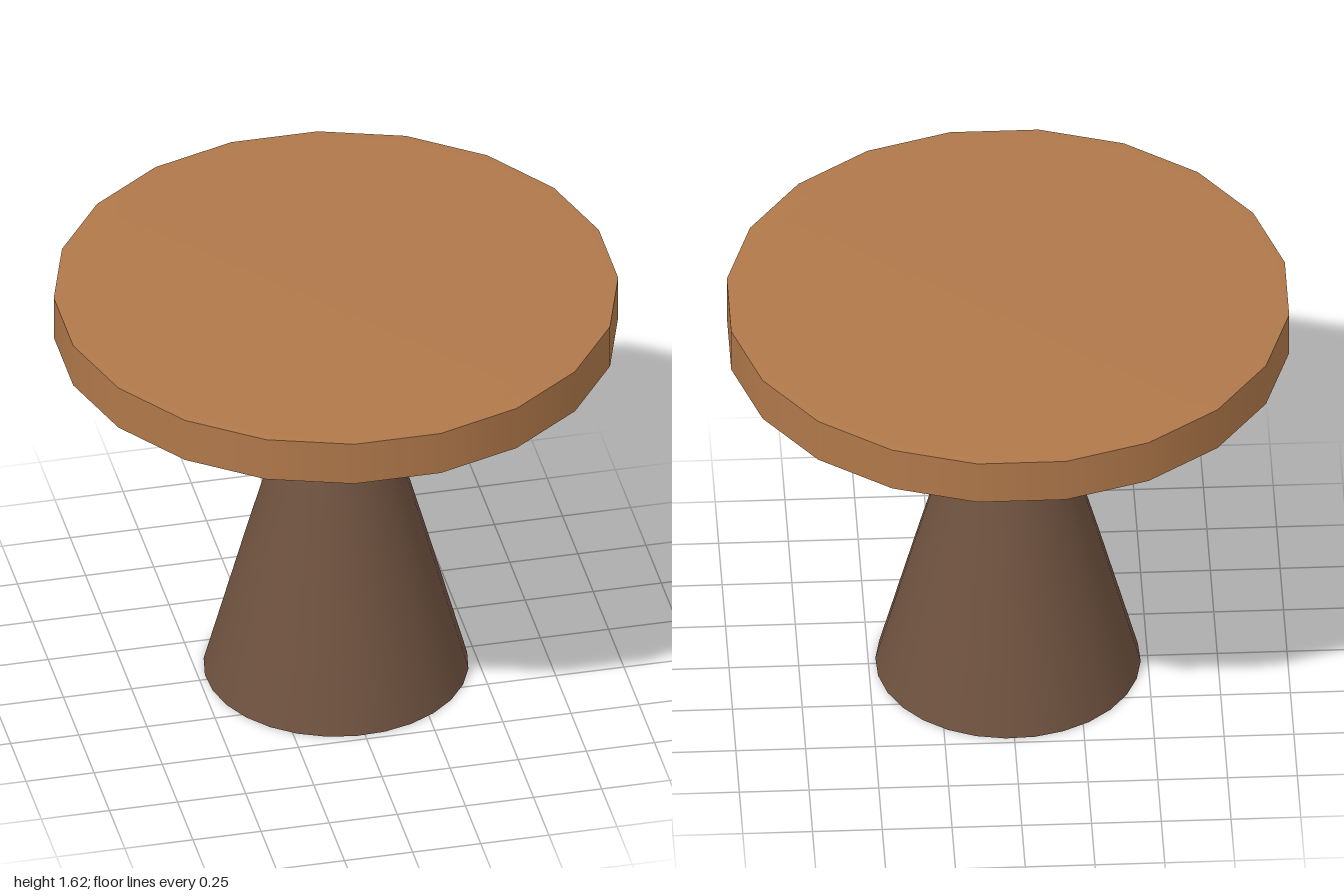
import * as THREE from 'three';

const SIDES = 20;
const HALF = Math.PI / SIDES;
const RADIUS = 1 / Math.cos(HALF); // flats touch the unit square

const wood = new THREE.MeshStandardMaterial({ color: 0xb0784a });
const woodThin = new THREE.MeshStandardMaterial({ color: 0xb0784a, side: THREE.DoubleSide });
const darkWood = new THREE.MeshStandardMaterial({ color: 0x6f523f, side: THREE.DoubleSide });

// Revolves a bottom-to-top profile of [radius, height] pairs
function revolve(name, profile, material, sides = SIDES) {
  const points = profile.map(([r, y]) => new THREE.Vector2(r, y));
  const mesh = new THREE.Mesh(new THREE.LatheGeometry(points, sides, HALF), material);
  mesh.name = name;
  return mesh;
}

export function createModel() {
  const group = new THREE.Group();
  group.name = 'pedestalTable';

  // Round top: underside, rim and slightly crowned surface, with sharp edges between
  const top = new THREE.Group();
  top.name = 'tableTop';
  top.add(
    revolve('underside', [[0, 1.445], [RADIUS, 1.445]], wood),
    revolve('rim', [[RADIUS, 1.445], [RADIUS, 1.615]], wood),
    revolve('surface', [[RADIUS, 1.615], [0.93, 1.622], [0, 1.622]], wood)
  );
  group.add(top);

  // Short neck between the top and the pedestal
  group.add(revolve('neck', [[0.112, 1.39], [0.102, 1.446]], woodThin));

  // Hollow pedestal, open at the foot, flaring in two slopes
  group.add(revolve('pedestal',
    [[0.475, 0], [0.33, 0.54], [0.183, 1.07], [0.113, 1.395]], darkWood, 28));

  return group;
}
